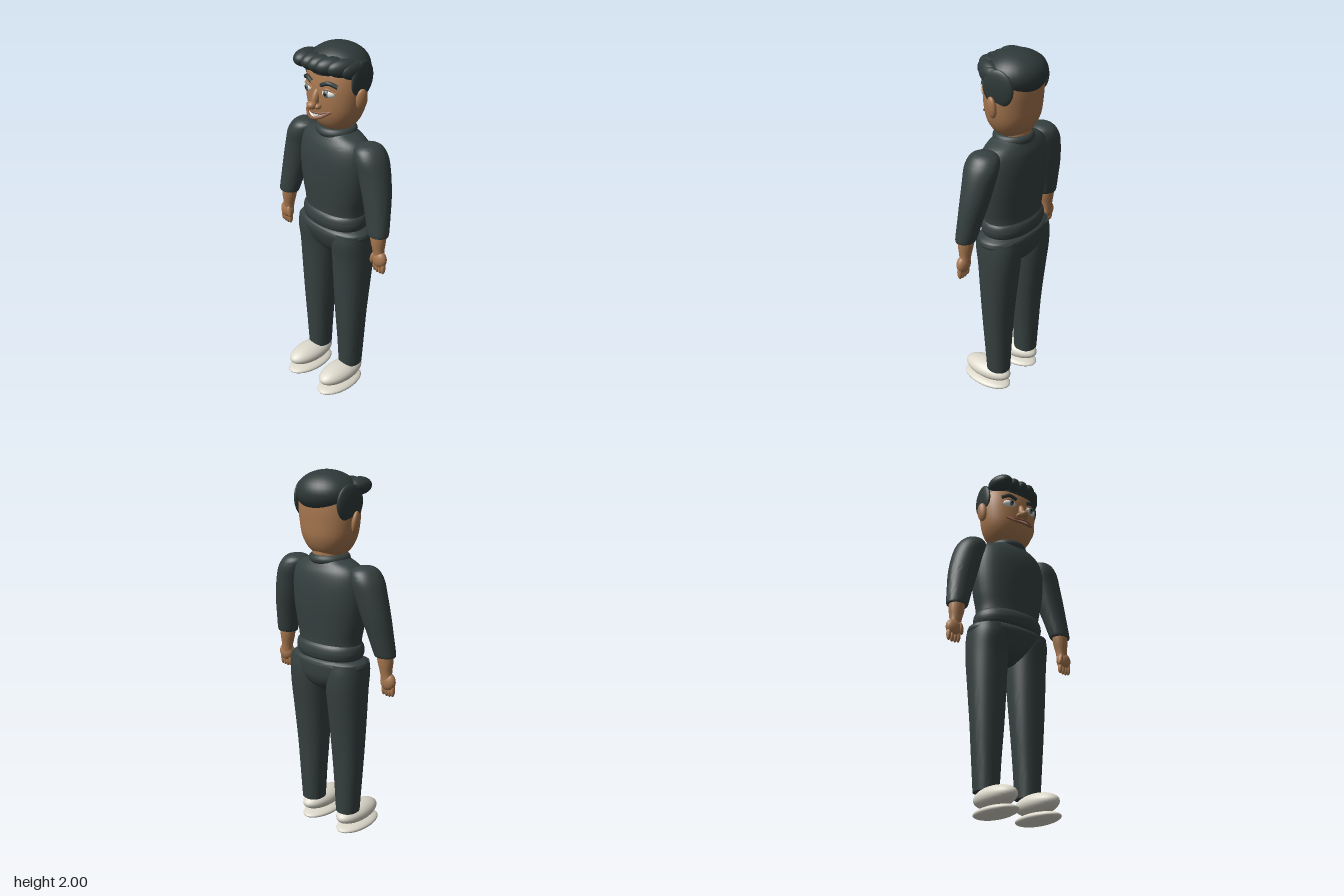
import * as THREE from 'three';
import { toCreasedNormals } from 'three/addons/utils/BufferGeometryUtils.js';

const mat = (name, color) => Object.assign(new THREE.MeshStandardMaterial({ color }), { name });

export function createModel() {
  const model = new THREE.Group();
  model.name = 'standingMan';
  const skin = mat('skin', 0xa87850);
  const cloth = mat('darkCloth', 0x364040);
  const hair = mat('hair', 0x2f3939);
  const shoe = mat('shoeOffWhite', 0xdcd8cb);
  const white = mat('eyeAndToothWhite', 0xe8e6e0);
  const iris = mat('irisGrey', 0x66777a);
  const black = mat('pupilBlack', 0x141414);
  const lip = mat('lipBrown', 0x8a573c);

  const add = (name, geometry, material, parent = model) => {
    const mesh = new THREE.Mesh(geometry, material);
    mesh.name = name;
    parent.add(mesh);
    return mesh;
  };

  // Stretched sphere: centre, radii, optional rotation
  const blob = (name, material, pos, radii, rot = [0, 0, 0], parent = model) => {
    const mesh = add(name, new THREE.SphereGeometry(1, 32, 20), material, parent);
    mesh.position.set(...pos);
    mesh.scale.set(...radii);
    mesh.rotation.set(...rot);
    return mesh;
  };

  // Smooth body from rising sections [y, centreX, centreZ, radiusX, radiusZ]
  const loft = (sections, power = 2, around = 40) => {
    const spline = (pts) => new THREE.CatmullRomCurve3(pts, false, 'catmullrom', 0.5);
    const centres = spline(sections.map(([y, x, z]) => new THREE.Vector3(x, y, z)));
    const radii = spline(sections.map((s) => new THREE.Vector3(s[3], s[4], 0)));
    const rows = (sections.length - 1) * 5;
    const bend = (v) => Math.sign(v) * Math.abs(v) ** (2 / power);
    const pos = [], index = [];
    for (let i = 0; i <= rows; i++) {
      const c = centres.getPoint(i / rows), r = radii.getPoint(i / rows);
      for (let j = 0; j < around; j++) {
        const a = (j / around) * Math.PI * 2;
        pos.push(c.x + r.x * bend(Math.cos(a)), c.y, c.z + r.y * bend(Math.sin(a)));
      }
    }
    const bottom = pos.length / 3, top = bottom + 1;
    for (const s of [sections[0], sections.at(-1)]) pos.push(s[1], s[0], s[2]);
    for (let j = 0; j < around; j++) {
      const k = (j + 1) % around;
      for (let i = 0; i < rows; i++) {
        const a = i * around + j, b = i * around + k;
        index.push(a, a + around, b, b, a + around, b + around);
      }
      index.push(bottom, j, k, top, rows * around + k, rows * around + j);
    }
    const g = new THREE.BufferGeometry();
    g.setAttribute('position', new THREE.Float32BufferAttribute(pos, 3));
    g.setIndex(index);
    return toCreasedNormals(g, 0.9);
  };

  const tube = (points, radius) => new THREE.TubeGeometry(
    new THREE.CatmullRomCurve3(points.map((p) => new THREE.Vector3(...p))), 24, radius, 10);

  // Sweater: body, hem and rolled collar
  add('sweaterBody', loft([
    [1.07, 0, -0.035, 0.188, 0.118], [1.14, 0, -0.034, 0.19, 0.118], [1.22, 0, -0.034, 0.207, 0.124],
    [1.32, 0, -0.035, 0.222, 0.13], [1.42, 0, -0.036, 0.225, 0.129], [1.49, 0, -0.038, 0.212, 0.117],
    [1.53, 0, -0.038, 0.178, 0.1], [1.56, 0, -0.038, 0.11, 0.085], [1.58, 0, -0.038, 0.085, 0.078],
  ], 2.2), cloth);
  add('sweaterHem', loft([
    [1.03, 0, -0.034, 0.17, 0.105], [1.04, 0, -0.034, 0.192, 0.125], [1.075, 0, -0.034, 0.202, 0.134],
    [1.11, 0, -0.034, 0.194, 0.126], [1.13, 0, -0.034, 0.17, 0.105],
  ], 2.2), cloth);
  const collar = add('collar', new THREE.TorusGeometry(0.088, 0.022, 14, 40), cloth);
  collar.rotation.x = Math.PI / 2;
  collar.scale.set(1, 0.96, 1.1);
  collar.position.set(0, 1.557, -0.038);

  // Trousers: hips joined to two tapering legs
  add('trouserHips', loft([
    [0.845, 0, -0.045, 0.03, 0.045], [0.88, 0, -0.045, 0.1, 0.09], [0.93, 0, -0.043, 0.19, 0.118],
    [0.99, 0, -0.036, 0.233, 0.131], [1.02, 0, -0.036, 0.234, 0.128], [1.035, 0, -0.036, 0.215, 0.112],
  ], 2.3), cloth);

  for (const s of [1, -1]) {
    const side = new THREE.Group();
    side.name = s > 0 ? 'leftLimbs' : 'rightLimbs';
    model.add(side);

    add('trouserLeg', loft([
      [0.14, s * 0.128, -0.033, 0.063, 0.066], [0.32, s * 0.129, -0.033, 0.075, 0.074],
      [0.5, s * 0.128, -0.033, 0.088, 0.084], [0.7, s * 0.128, -0.038, 0.1, 0.099],
      [0.86, s * 0.128, -0.043, 0.107, 0.113], [0.96, s * 0.129, -0.038, 0.106, 0.122],
      [1.02, s * 0.13, -0.036, 0.1, 0.115],
    ], 2.2), cloth, side);

    // Shoe: upper over a flattened sole
    blob('shoeUpper', shoe, [s * 0.128, 0.102, 0.044], [0.077, 0.054, 0.153], [0, 0, 0], side);
    blob('shoeSole', shoe, [s * 0.128, 0.028, 0.05], [0.083, 0.028, 0.155], [0, 0, 0], side);

    // Three-quarter sleeve with a rounded shoulder
    add('sleeve', loft([
      [1.09, s * 0.347, -0.005, 0.052, 0.045], [1.1, s * 0.346, -0.005, 0.06, 0.052],
      [1.2, s * 0.326, -0.018, 0.07, 0.062], [1.3, s * 0.303, -0.03, 0.08, 0.073],
      [1.4, s * 0.277, -0.037, 0.084, 0.083], [1.47, s * 0.255, -0.038, 0.083, 0.09],
      [1.515, s * 0.238, -0.038, 0.073, 0.078], [1.538, s * 0.236, -0.038, 0.047, 0.05],
      [1.546, s * 0.236, -0.038, 0.012, 0.014],
    ]), cloth, side);

    add('forearm', loft([
      [0.95, s * 0.362, -0.003, 0.035, 0.024], [1.0, s * 0.355, -0.003, 0.032, 0.03],
      [1.06, s * 0.35, -0.004, 0.042, 0.039], [1.12, s * 0.346, -0.005, 0.045, 0.042],
    ]), skin, side);

    // Hand with four fingers and a thumb
    blob('palm', skin, [s * 0.366, 0.955, 0], [0.045, 0.048, 0.03], [0, 0, 0], side);
    for (let i = 0; i < 4; i++) {
      blob('finger', skin, [s * (0.339 + i * 0.019), 0.912 - (i % 3 ? 0.004 : 0), 0.002],
        [0.012, 0.036, 0.014], [0, 0, 0], side);
    }
    blob('thumb', skin, [s * 0.333, 0.955, 0.014], [0.014, 0.036, 0.016], [0, 0, s * -0.2], side);
  }

  // Head and neck
  add('neck', new THREE.CylinderGeometry(0.082, 0.085, 0.14, 32), skin).position.set(0, 1.57, -0.045);
  add('head', loft([
    [1.566, 0, -0.035, 0.02, 0.02], [1.575, 0, -0.035, 0.075, 0.065], [1.61, 0, -0.036, 0.117, 0.101],
    [1.67, 0, -0.037, 0.15, 0.126], [1.75, 0, -0.037, 0.166, 0.134], [1.83, 0, -0.04, 0.168, 0.134],
    [1.9, 0, -0.045, 0.15, 0.122], [1.95, 0, -0.05, 0.09, 0.08], [1.965, 0, -0.05, 0.02, 0.02],
  ], 2.1), skin);

  for (const s of [1, -1]) {
    blob('ear', skin, [s * 0.175, 1.755, -0.04], [0.018, 0.056, 0.031], [0, s * -0.3, s * -0.12]);
    blob('eyeWhite', white, [s * 0.073, 1.787, 0.082], [0.037, 0.021, 0.02], [0, s * 0.3, 0]);
    blob('iris', iris, [s * 0.069, 1.788, 0.094], [0.018, 0.019, 0.012], [0, s * 0.25, 0]);
    blob('pupil', black, [s * 0.069, 1.788, 0.102], [0.009, 0.01, 0.006], [0, s * 0.25, 0]);
    add('upperEyelid', tube([[s * 0.036, 1.79, 0.091], [s * 0.07, 1.811, 0.095],
      [s * 0.112, 1.791, 0.07]], 0.0055), skin);
    add('eyebrow', tube([[s * 0.032, 1.823, 0.095], [s * 0.075, 1.839, 0.087],
      [s * 0.116, 1.823, 0.063]], 0.0105), hair);
    blob('nostril', skin, [s * 0.022, 1.714, 0.106], [0.016, 0.014, 0.02]);
    // Hair over the temples
    blob('sideHair', hair, [s * 0.155, 1.848, -0.062], [0.021, 0.094, 0.083], [0, s * 0.15, s * -0.05]);
  }

  // Nose
  blob('noseBridge', skin, [0, 1.752, 0.098], [0.018, 0.05, 0.024], [-0.3, 0, 0]);
  blob('noseTip', skin, [0, 1.72, 0.127], [0.024, 0.021, 0.026]);

  // Smile: curved teeth plate between two lips
  const mouthZ = (x) => 0.115 - 5 * x * x;
  const smile = new THREE.Shape();
  smile.moveTo(-0.08, 1.692);
  smile.quadraticCurveTo(0, 1.668, 0.08, 1.692);
  smile.quadraticCurveTo(0, 1.622, -0.08, 1.692);
  const teeth = new THREE.ExtrudeGeometry(smile, { depth: 0.009, bevelEnabled: false, curveSegments: 16 });
  const p = teeth.attributes.position;
  for (let i = 0; i < p.count; i++) p.setZ(i, p.getZ(i) + mouthZ(p.getX(i)) - 0.005);
  teeth.computeVertexNormals();
  add('teeth', teeth, white);
  const lipLine = (middle, out) => [-1, -0.5, 0, 0.5, 1].map((t) =>
    [t * 0.085, middle + (1.694 - middle) * t * t, mouthZ(t * 0.085) + out * (1 - t * t)]);
  add('upperLip', tube(lipLine(1.682, 0.005), 0.005), lip);
  add('lowerLip', tube(lipLine(1.655, 0.012), 0.0075), lip);

  // Hair cap and swept fringe
  blob('hairCap', hair, [0, 1.89, -0.056], [0.163, 0.11, 0.149]);
  const fringe = [
    [[-0.115, 1.919, 0.052], [0.056, 0.045, 0.084], 0.12],
    [[-0.045, 1.917, 0.066], [0.046, 0.044, 0.07], -0.3],
    [[0.012, 1.917, 0.066], [0.047, 0.045, 0.074], -0.4],
    [[0.066, 1.917, 0.058], [0.046, 0.046, 0.08], -0.45],
    [[0.118, 1.912, 0.025], [0.04, 0.046, 0.085], -0.4],
    [[0.147, 1.9, -0.015], [0.029, 0.045, 0.075], -0.1],
  ];
  for (const [pos, radii, turn] of fringe) blob('fringeLock', hair, pos, radii, [0, turn, 0]);

  return model;
}
